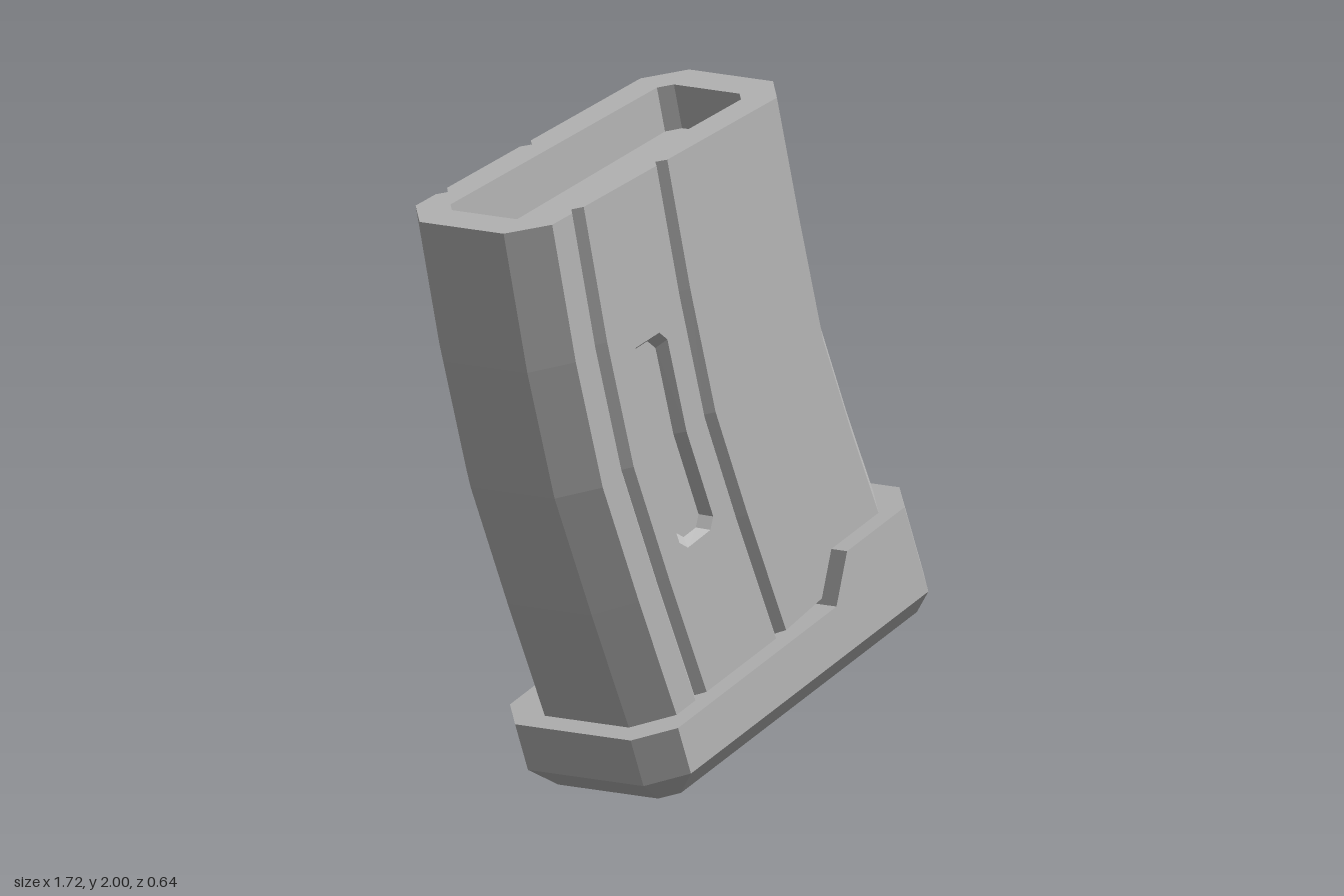
import * as THREE from 'three';
import { mergeGeometries } from 'three/addons/utils/BufferGeometryUtils.js';

// Left and right edge of the curved body, from mouth (row 0) to foot (row 4)
const LEFT = [[-0.864, 1.698], [-0.763, 1.286], [-0.647, 0.911], [-0.489, 0.557], [-0.314, 0.18]];
const RIGHT = [[0.283, 2.0], [0.378, 1.645], [0.478, 1.286], [0.594, 1.017], [0.747, 0.69]];
const ROWS = [0, 1, 2, 3, 4];

// Point on the body: u runs across, t runs down the rows
function P(u, t, z) {
  const i = Math.min(3, Math.floor(t)), f = t - i;
  const at = (e, k) => e[i][k] + (e[i + 1][k] - e[i][k]) * f;
  return [0, 1].map(k => at(LEFT, k) + (at(RIGHT, k) - at(LEFT, k)) * u).concat(z);
}

function quads(list) {
  const pos = [];
  for (const [a, b, c, d] of list) pos.push(...a, ...b, ...c, ...a, ...c, ...d);
  const g = new THREE.BufferGeometry();
  g.setAttribute('position', new THREE.Float32BufferAttribute(pos, 3));
  g.computeVertexNormals();
  return g;
}

// Flat polygon with optional hole; every vertex is passed through a mapping
function plate(points, hole, map) {
  const toVec = p => new THREE.Vector2(p[0], p[1]);
  const shape = new THREE.Shape(points.map(toVec));
  if (hole) shape.holes.push(new THREE.Path(hole.map(toVec)));
  const g = new THREE.ShapeGeometry(shape).toNonIndexed();
  g.deleteAttribute('uv');
  const p = g.attributes.position;
  for (let i = 0; i < p.count; i++) p.setXYZ(i, ...map(p.getX(i), p.getY(i)));
  g.computeVertexNormals();
  return g;
}

// Mirrored copy across z = 0, with the corner order reversed
function mirrorZ(geo) {
  const g = geo.clone(), src = geo.attributes.position, p = g.attributes.position;
  for (let i = 0; i < p.count; i++) {
    const j = i - (i % 3) + (2 - (i % 3));
    p.setXYZ(i, src.getX(j), src.getY(j), -src.getZ(j));
  }
  g.computeVertexNormals();
  return g;
}

// Close a front half-profile with its mirrored back half
const closed = half => half.concat(half.slice().reverse().map(([u, z]) => [u, -z]));

function loft(loop, rows, inward, skip = () => false) {
  const list = [];
  loop.forEach((a, i) => {
    const b = loop[(i + 1) % loop.length];
    if (skip(a, b)) return;
    for (let r = 0; r < rows.length - 1; r++) {
      const q = [P(a[0], rows[r + 1], a[1]), P(b[0], rows[r + 1], b[1]),
        P(b[0], rows[r], b[1]), P(a[0], rows[r], a[1])];
      list.push(inward ? q.reverse() : q);
    }
  });
  return quads(list);
}

export function createModel() {
  const group = new THREE.Group();
  const grey = new THREE.MeshStandardMaterial({ color: 0xb8b8b8, flatShading: true });
  grey.name = 'light grey';
  const add = (geo, name, parent = group) => {
    const m = new THREE.Mesh(geo, grey);
    m.name = name;
    parent.add(m);
    return m;
  };

  // Curved shell with chamfered corners and two V grooves on each side
  const W = 0.26, G = 0.235, g0 = 0.2, g1 = 0.47;
  const outer = closed([[0, 0.16], [0.083, W], [0.157, W], [0.178, G], [g0, W],
    [g1, W], [0.49, G], [0.51, W], [0.917, W], [1, 0.16]]);
  const isPanel = (a, b) => Math.min(a[0], b[0]) === g0 && Math.max(a[0], b[0]) === g1;
  add(loft(outer, ROWS, false, isPanel), 'body');

  // Panel between the grooves with a sunken pocket
  const pocket = (du, dt) => {
    const a = 0.268 + du, d = 0.4 - du, p = 1.17 + dt, s = 2.89 - dt, cu = 0.022, ct = 0.085;
    return [[a + cu, s], [d - cu, s], [d, s - ct], [d, 2], [d, p + ct],
      [d - cu, p], [a + cu, p], [a, p + ct], [a, 2], [a, s - ct]];
  };
  const rim = pocket(0, 0).map(([u, t]) => P(u, t, W));
  const bed = pocket(0.02, 0.05).map(([u, t]) => P(u, t, W - 0.03));
  const edge = ROWS.map(t => P(g0, t, W)).concat(ROWS.slice().reverse().map(t => P(g1, t, W)));
  const panel = mergeGeometries([
    plate(edge, rim, (x, y) => [x, y, W]),
    plate(bed, null, (x, y) => [x, y, W - 0.03]),
    quads(rim.map((a, i) => {
      const j = (i + 1) % rim.length;
      return [a, rim[j], bed[j], bed[i]];
    })),
  ]);
  add(panel, 'frontPocketPanel');
  add(mirrorZ(panel), 'backPocketPanel');

  // Mouth: top rim, inner walls and shallow floor
  const inner = closed([[0.086, 0.125], [0.115, 0.16], [0.881, 0.16], [0.91, 0.125]]);
  const depth = 0.36;
  add(plate(outer, inner, (u, v) => P(u, 0, -v)), 'mouthRim');
  add(loft(inner, [0, depth], true), 'mouthWalls');
  add(plate(inner, null, (u, v) => P(u, depth, -v)), 'mouthFloor');

  // Base plate: stations along its length as [x, half width, top height]
  const base = new THREE.Group();
  base.name = 'basePlate';
  base.position.set(-0.24, 0.004, 0);
  base.rotation.z = THREE.MathUtils.degToRad(21.75);
  group.add(base);
  const M = 0.082;
  const st = [[-0.07, 0.22, 0.23], [0.027, 0.32, 0.23], [0.753, 0.32, 0.23],
    [0.852, 0.32, 0.356], [1.115, 0.32, 0.356], [1.212, 0.22, 0.356]];
  const faces = [];
  for (let i = 0; i < st.length - 1; i++) {
    const [x0, w0, h0] = st[i], [x1, w1, h1] = st[i + 1];
    faces.push([[x0, M, w0], [x1, M, w1], [x1, h1, w1], [x0, h0, w0]]);
    faces.push([[x0, h0, -w0], [x1, h1, -w1], [x1, M, -w1], [x0, M, -w0]]);
    faces.push([[x0, h0, w0], [x1, h1, w1], [x1, h1, -w1], [x0, h0, -w0]]);
  }
  const end = ([x, w, h]) => [[x, M, -w], [x, M, w], [x, h, w], [x, h, -w]];
  faces.push(end(st[0]), end(st[5]).reverse());
  add(quads(faces), 'baseBlock', base);

  // Bevelled underside of the base plate
  const mid = closed([[-0.07, 0.22], [0.027, 0.32], [1.115, 0.32], [1.212, 0.22]]);
  const low = closed([[0, 0.19], [0.045, 0.24], [1.126, 0.24], [1.126, 0.24]]);
  const under = mid.map((a, i) => {
    const j = (i + 1) % mid.length;
    return [[low[i][0], 0, low[i][1]], [low[j][0], 0, low[j][1]],
      [mid[j][0], M, mid[j][1]], [a[0], M, a[1]]];
  });
  under.push([[0, 0, -0.19], [0.045, 0, -0.24], [0.045, 0, 0.24], [0, 0, 0.19]]);
  under.push([[0.045, 0, -0.24], [1.126, 0, -0.24], [1.126, 0, 0.24], [0.045, 0, 0.24]]);
  add(quads(under), 'baseUnderside', base);

  return group;
}
